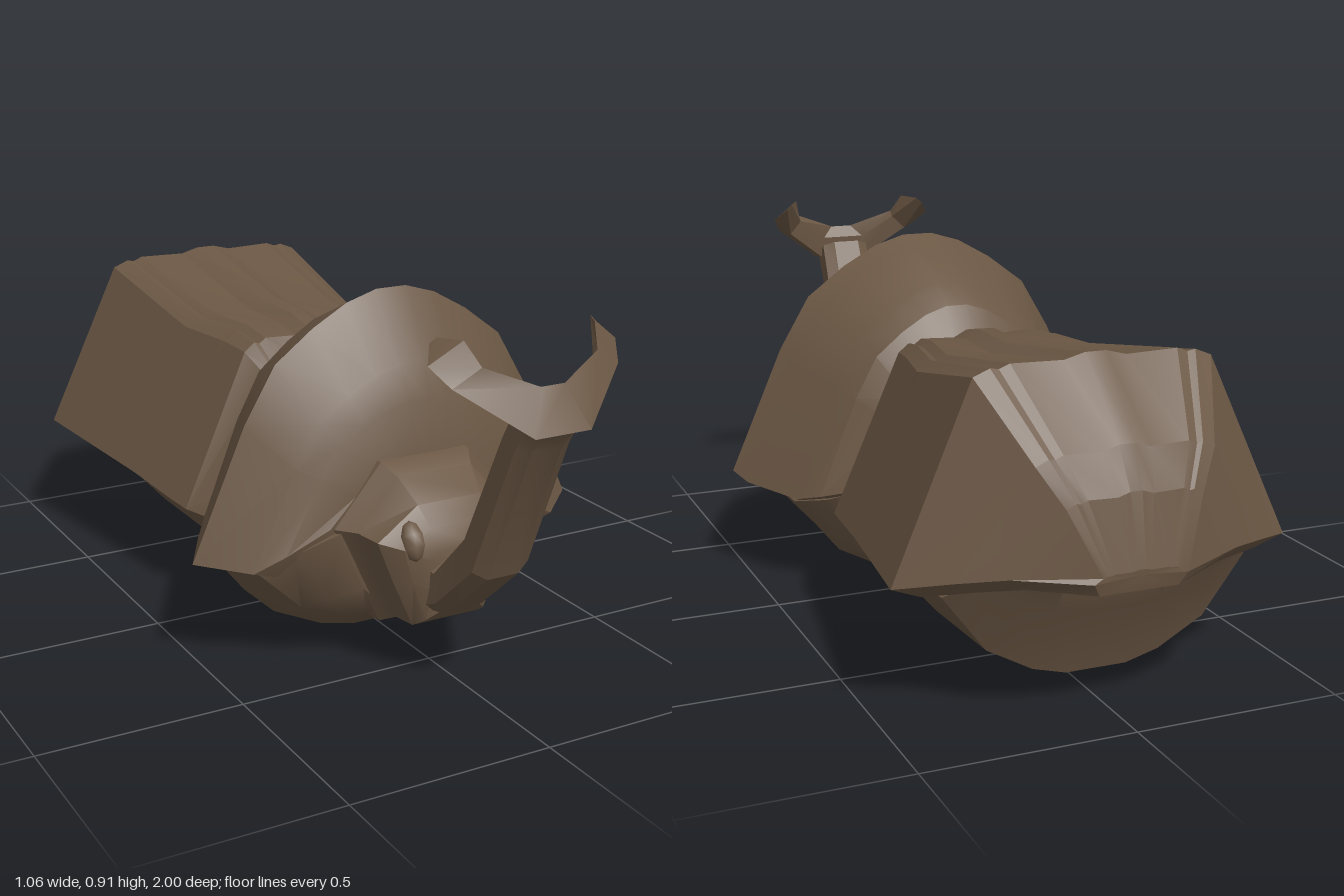
import * as THREE from 'three';
import { toCreasedNormals } from 'three/addons/utils/BufferGeometryUtils.js';

const shell = new THREE.MeshStandardMaterial({ color: 0x6b5744 });

// Mirror a right-hand half section (top to bottom) into a closed loop
function mirrorLoop(half) {
  const other = half.filter(p => p[0] > 0).map(([x, y, z]) => [-x, y, z]).reverse();
  return [...half, ...other];
}

// Skin closed loops (clockwise seen from the last one) and cap both ends
function loft(name, loops, crease = 0.45) {
  const pos = [], idx = [], n = loops[0].length, last = loops.length - 1;
  loops.forEach(l => l.forEach(p => pos.push(...p)));
  for (let i = 0; i < last; i++) {
    for (let j = 0; j < n; j++) {
      const k = (j + 1) % n, a = i * n + j, b = i * n + k;
      idx.push(a, a + n, b + n, a, b + n, b);
    }
  }
  for (const i of [0, last]) {
    const c = pos.length / 3;
    pos.push(...[0, 1, 2].map(q => loops[i].reduce((s, p) => s + p[q], 0) / n));
    for (let j = 0; j < n; j++) {
      const a = i * n + j, b = i * n + (j + 1) % n;
      if (i === 0) idx.push(c, a, b); else idx.push(c, b, a);
    }
  }
  let g = new THREE.BufferGeometry();
  g.setAttribute('position', new THREE.Float32BufferAttribute(pos, 3));
  g.setIndex(idx);
  g = toCreasedNormals(g, crease);
  const mesh = new THREE.Mesh(g, shell);
  mesh.name = name;
  return mesh;
}

// Wing case section: raised seam, stepped panels falling to a ridge, then a flat flank
function wingRing([z, top, ridge, ex, ey, ez, d]) {
  return mirrorLoop([
    [ridge * 0.09, top, z], [ridge * 0.26, top - d * 0.8, z], [ridge * 0.7, top - d * 0.6, z],
    [ridge * 0.79, top - d * 1.2, z], [ridge * 0.86, top - d, z], [ridge, top - d * 2, z],
    [ex, ey, ez], [ex * 0.85, ey - 0.03, ez + 0.01],
  ]);
}

// Thorax shield section: a dome ending in a pointed side corner
const dome = [[0.04, 1], [0.12, 0.96], [0.21, 0.876], [0.31, 0.752], [0.39, 0.529], [0.53, 0]];
function shieldRing([z, top, ex, ey]) {
  const half = dome.map(([x, t]) => [x * ex / 0.53, ey + t * (top - ey), z]);
  half.push([ex * 0.77, ey - 0.03, z]);
  return mirrorLoop(half);
}

// Rounded underside section
function bellyRing([z, top, w, side, bottom]) {
  const h = side - bottom;
  return mirrorLoop([
    [w * 0.5, top, z], [w, side, z], [w * 0.72, bottom + h * 0.38, z],
    [w * 0.42, bottom + h * 0.1, z], [w * 0.2, bottom, z],
  ]);
}

export function createModel() {
  const model = new THREE.Group();
  model.name = 'hornedBeetle';

  // Abdomen: z, top, ridge x, edge x, edge y, edge z, step depth
  model.add(loft('wingCases', [
    [-1.0, 0.37, 0.09, 0.11, 0.35, -1.0, 0.004],
    [-0.965, 0.53, 0.16, 0.27, 0.36, -0.93, 0.011],
    [-0.92, 0.62, 0.21, 0.37, 0.345, -0.87, 0.014],
    [-0.765, 0.785, 0.285, 0.48, 0.32, -0.79, 0.016],
    [-0.35, 0.718, 0.25, 0.41, 0.285, -0.35, 0.024],
    [-0.18, 0.718, 0.215, 0.385, 0.265, -0.18, 0.026],
    [-0.09, 0.7, 0.2, 0.375, 0.26, -0.09, 0.022],
    [-0.06, 0.62, 0.16, 0.24, 0.3, -0.06, 0.01],
  ].map(wingRing), 0.25));

  model.add(loft('belly', [
    [-0.93, 0.38, 0.2, 0.36, 0.33],
    [-0.87, 0.38, 0.31, 0.34, 0.24],
    [-0.8, 0.4, 0.37, 0.29, 0.07],
    [-0.5, 0.4, 0.365, 0.27, 0.05],
    [-0.2, 0.4, 0.34, 0.25, 0.04],
    [-0.09, 0.4, 0.335, 0.25, 0.045],
    [-0.055, 0.4, 0.24, 0.28, 0.12],
  ].map(bellyRing), 0.6));

  model.add(loft('waist', [
    [-0.12, 0.55, 0.24, 0.34, 0.13], [0, 0.55, 0.24, 0.34, 0.13],
  ].map(bellyRing)));

  // Thorax
  model.add(loft('thoraxShield', [
    [-0.055, 0.6, 0.27, 0.3],
    [0.02, 0.74, 0.375, 0.27],
    [0.085, 0.79, 0.42, 0.25],
    [0.245, 0.86, 0.505, 0.26],
    [0.3, 0.885, 0.53, 0.28],
    [0.4, 0.72, 0.42, 0.27],
    [0.43, 0.64, 0.35, 0.31],
    [0.46, 0.5, 0.25, 0.37],
  ].map(shieldRing), 0.4));

  model.add(loft('thoraxUnderside', [
    [-0.055, 0.45, 0.25, 0.3, 0.05],
    [0.02, 0.45, 0.36, 0.26, 0.007],
    [0.1, 0.45, 0.42, 0.24, 0.002],
    [0.28, 0.45, 0.43, 0.24, 0.025],
    [0.39, 0.42, 0.405, 0.265, 0.09],
    [0.43, 0.42, 0.33, 0.31, 0.105],
    [0.475, 0.42, 0.235, 0.36, 0.12],
  ].map(bellyRing), 0.7));

  // Head: z, then half-section points from brow to chin
  model.add(loft('head', [
    [0.41, [0.12, 0.52], [0.245, 0.37], [0.185, 0.25], [0.12, 0.11]],
    [0.465, [0.12, 0.515], [0.242, 0.37], [0.185, 0.25], [0.12, 0.115]],
    [0.51, [0.1, 0.49], [0.205, 0.37], [0.158, 0.26], [0.1, 0.138]],
    [0.575, [0.085, 0.44], [0.19, 0.365], [0.148, 0.26], [0.095, 0.142]],
    [0.61, [0.07, 0.39], [0.14, 0.35], [0.115, 0.26], [0.08, 0.165]],
    [0.63, [0.05, 0.34], [0.08, 0.32], [0.075, 0.25], [0.05, 0.19]],
  ].map(([z, ...pts]) => mirrorLoop(pts.map(([x, y]) => [x, y, z]))), 0.5));

  // Eyes
  for (const s of [-1, 1]) {
    const eye = new THREE.Mesh(new THREE.SphereGeometry(1, 7, 5), shell);
    eye.name = s > 0 ? 'leftEye' : 'rightEye';
    eye.scale.set(0.03, 0.048, 0.026);
    eye.position.set(s * 0.113, 0.365, 0.6);
    eye.rotation.set(-0.4, s * 0.5, 0);
    model.add(eye);
  }

  // Horn: back y, back z, front y, front z, half width
  model.add(loft('horn', [
    [0.36, 0.53, 0.14, 0.57, 0.09],
    [0.315, 0.635, 0.2, 0.655, 0.08],
    [0.43, 0.74, 0.33, 0.8, 0.075],
    [0.695, 0.865, 0.67, 0.944, 0.07],
    [0.775, 0.905, 0.72, 0.985, 0.068],
  ].map(([by, bz, fy, fz, w]) => mirrorLoop(
    [[0.55, 0], [1, 0.2], [1, 0.8], [0.55, 1]].map(([k, t]) =>
      [w * k, by + (fy - by) * t, bz + (fz - bz) * t]))), 0.3));

  // Fork: sections from the root out to the left tip, mirrored for the right
  const arm = [
    [[0.07, 0.72, 1.0], [0.03, 0.815, 0.955], [0.06, 0.785, 0.935], [0.06, 0.72, 0.94]],
    [[0.21, 0.82, 0.9], [0.145, 0.86, 0.91], [0.145, 0.845, 0.895], [0.18, 0.81, 0.885]],
    [[0.238, 0.86, 0.85], [0.165, 0.91, 0.87], [0.195, 0.908, 0.815], [0.21, 0.895, 0.81]],
  ];
  const mirrored = arm.map(l => l.map(([x, y, z]) => [-x, y, z])).reverse();
  model.add(loft('hornFork', [...mirrored, ...arm], 0.3));

  return model;
}
